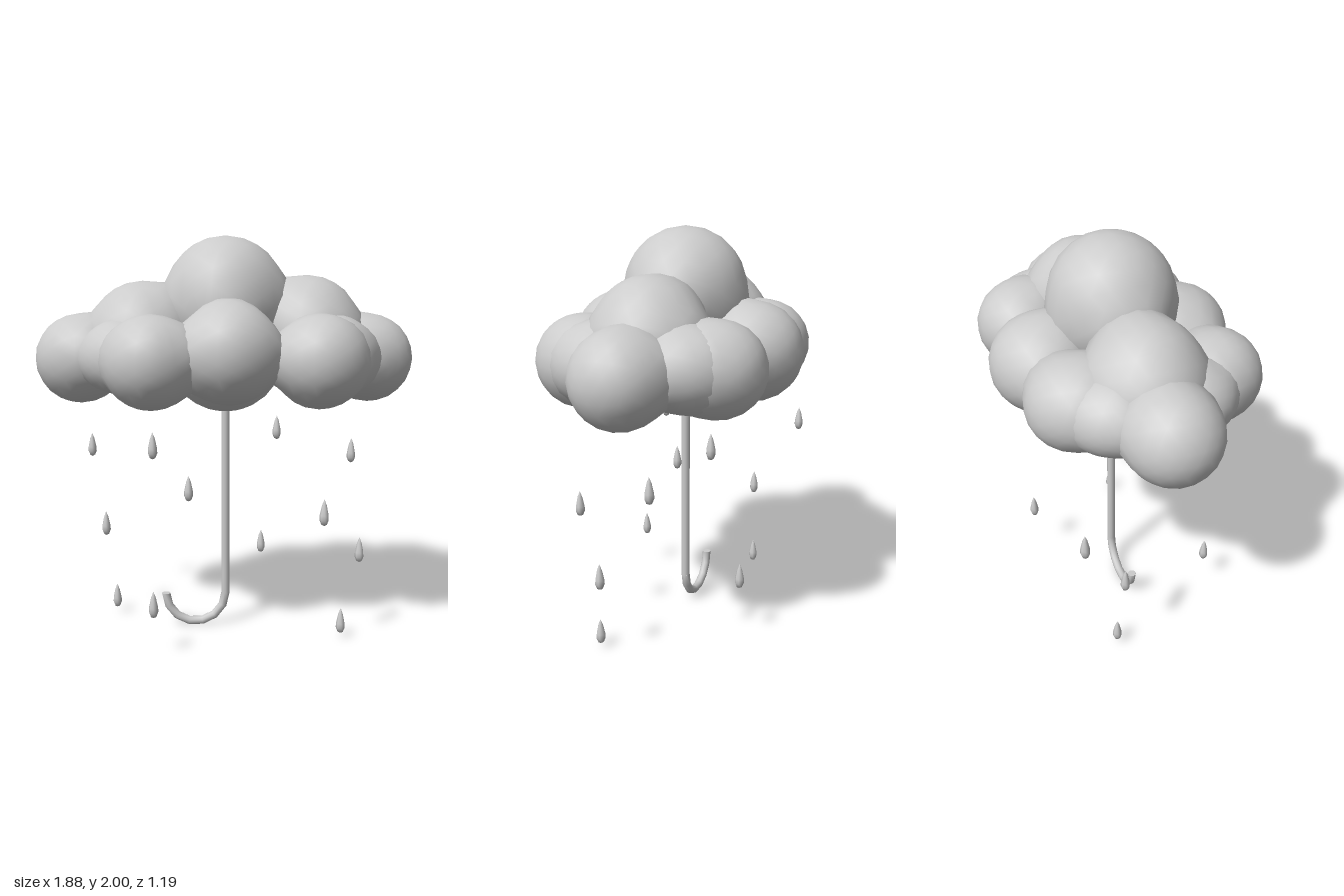
import * as THREE from 'three';
import { mergeVertices } from 'three/addons/utils/BufferGeometryUtils.js';

// Cloud puffs: x, y, z, radius
const PUFFS = [
  [0, 1.70, 0, 0.30], [0, 1.42, 0, 0.29],                                // crown and core
  [-0.41, 1.52, 0, 0.26], [0.41, 1.55, 0, 0.26],                         // shoulders
  [-0.72, 1.40, 0, 0.22], [0.72, 1.40, 0, 0.22],                         // ends
  [-0.36, 1.40, 0.37, 0.22], [0, 1.44, 0.345, 0.24], [0.42, 1.40, 0.34, 0.22],    // front row
  [-0.34, 1.40, -0.31, 0.22], [0, 1.42, -0.355, 0.24], [0.41, 1.41, -0.33, 0.22], // back row
  [-0.53, 1.41, 0.21, 0.16], [-0.53, 1.41, -0.21, 0.16],                 // corner fillers
  [0.54, 1.41, 0.21, 0.18], [0.54, 1.42, -0.22, 0.18],
];

// Raindrops: x, y, z of the middle
const DROPS = [
  [-0.72, 0.90, -0.40], [-0.36, 1.00, 0.27], [0.29, 1.01, -0.25], [0.67, 0.905, -0.11],
  [-0.19, 0.76, 0.13], [0.45, 0.69, 0.37], [-0.63, 0.51, -0.17], [0.22, 0.34, -0.38],
  [0.67, 0.44, 0.15], [-0.36, 0.26, 0.40], [-0.58, 0.10, -0.19], [0.57, 0.09, 0.21],
];

// Smoothly blended distance to all puffs
function cloudDistance(p) {
  const k = 0.03;
  let sum = 0;
  for (const [x, y, z, r] of PUFFS) {
    sum += Math.exp(-(Math.hypot(p.x - x, p.y - y, p.z - z) - r) / k);
  }
  return -k * Math.log(sum);
}

// A sphere whose surface swells slightly where it meets its neighbours
function puffGeometry([x, y, z, r]) {
  let geo = new THREE.IcosahedronGeometry(r, 3);
  geo.deleteAttribute('uv');
  geo.deleteAttribute('normal');
  geo = mergeVertices(geo, 1e-4);
  const pos = geo.attributes.position;
  const centre = new THREE.Vector3(x, y, z);
  const dir = new THREE.Vector3(), p = new THREE.Vector3();
  for (let i = 0; i < pos.count; i++) {
    dir.fromBufferAttribute(pos, i).normalize();
    p.copy(dir).multiplyScalar(r).add(centre);
    const push = Math.min(Math.max(-cloudDistance(p), 0), 0.035);
    p.addScaledVector(dir, push);
    pos.setXYZ(i, p.x, p.y, p.z);
  }
  geo.computeVertexNormals();
  return geo;
}

export function createModel() {
  const model = new THREE.Group();
  model.name = 'rainCloudUmbrella';
  const material = new THREE.MeshStandardMaterial({ color: 0xcccccc });
  const add = (parent, name, geo) => {
    const mesh = new THREE.Mesh(geo, material);
    mesh.name = name;
    parent.add(mesh);
    return mesh;
  };

  // Cloud canopy
  const cloud = new THREE.Group();
  cloud.name = 'cloud';
  model.add(cloud);
  PUFFS.forEach((puff) => add(cloud, 'cloudPuff', puffGeometry(puff)));

  // Umbrella shaft and hooked handle
  const tube = 0.022, bend = 0.155, hookY = bend + tube;
  const handle = new THREE.Group();
  handle.name = 'handle';
  model.add(handle);
  const shaft = add(handle, 'shaft', new THREE.CylinderGeometry(tube, tube, 1.3 - hookY, 10, 1, true));
  shaft.position.y = (1.3 + hookY) / 2;
  const hook = add(handle, 'hook', new THREE.TorusGeometry(bend, tube, 10, 7, Math.PI));
  hook.rotation.z = Math.PI;
  hook.position.set(-bend, hookY, 0);
  const cap = add(handle, 'hookTip', new THREE.CircleGeometry(tube, 10));
  cap.rotation.x = -Math.PI / 2;
  cap.position.set(-2 * bend, hookY, 0);

  // Raindrops
  const profile = [[0, -0.064], [0.014, -0.057], [0.023, -0.035], [0.022, -0.012], [0.012, 0.035], [0, 0.066]]
    .map(([r, y]) => new THREE.Vector2(r, y));
  const dropGeo = new THREE.LatheGeometry(profile, 7);
  const rain = new THREE.Group();
  rain.name = 'rain';
  model.add(rain);
  DROPS.forEach((at) => add(rain, 'raindrop', dropGeo).position.set(...at));

  return model;
}
